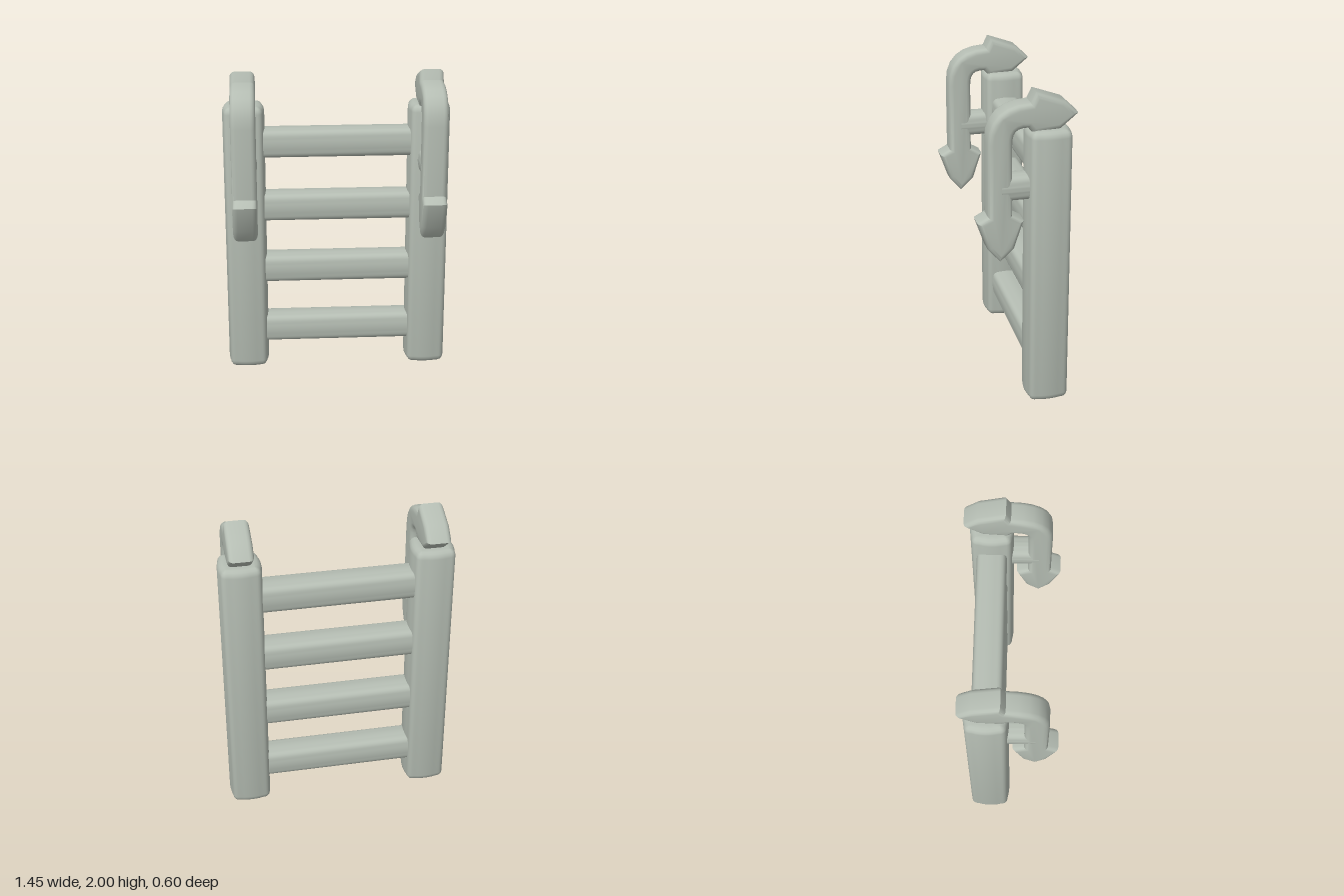
import * as THREE from 'three';
import { toCreasedNormals } from 'three/addons/utils/BufferGeometryUtils.js';

// Softly bulging square with rounded corners: h = half size, r = corner radius, b = side bulge
function pillowSquare(h, r, b) {
  const s = new THREE.Shape();
  const e = h - b, k = e - r;
  s.moveTo(-k, -e);
  s.quadraticCurveTo(0, -h - b, k, -e);
  s.quadraticCurveTo(e, -e, e, -k);
  s.quadraticCurveTo(h + b, 0, e, k);
  s.quadraticCurveTo(e, e, k, e);
  s.quadraticCurveTo(0, h + b, -k, e);
  s.quadraticCurveTo(-e, e, -e, k);
  s.quadraticCurveTo(-h - b, 0, -e, -k);
  s.quadraticCurveTo(-e, -e, -k, -e);
  return s;
}

// Extrusion of a given total length, centred, with rounded rims inside the outline
function softExtrude(shape, length, bevel, crease = 0.7) {
  const g = new THREE.ExtrudeGeometry(shape, {
    depth: length - 2 * bevel, curveSegments: 6,
    bevelEnabled: bevel > 0, bevelThickness: bevel, bevelSize: bevel,
    bevelOffset: -bevel, bevelSegments: 4,
  });
  g.translate(0, 0, bevel - length / 2);
  return toCreasedNormals(g, crease);
}

// Side outline of the hook, drawn as (z, y), with an arrowhead at each end
function hookShape() {
  const s = new THREE.Shape();
  s.moveTo(0.165, 0.96);
  s.lineTo(0.242, 1.05);
  s.lineTo(0.302, 1.22);
  s.lineTo(0.238, 1.255);
  s.lineTo(0.238, 1.7);
  s.bezierCurveTo(0.238, 1.86, 0.14, 1.935, -0.015, 1.937);
  s.lineTo(-0.045, 2.0);
  s.lineTo(-0.215, 1.94);
  s.lineTo(-0.298, 1.86);
  s.lineTo(-0.19, 1.77);
  s.lineTo(-0.03, 1.755);
  s.lineTo(0.0, 1.79);
  s.bezierCurveTo(0.07, 1.79, 0.092, 1.77, 0.092, 1.69);
  s.lineTo(0.092, 1.255);
  s.lineTo(0.022, 1.215);
  s.lineTo(0.08, 1.04);
  s.closePath();
  return s;
}

export function createModel() {
  const model = new THREE.Group();
  model.name = 'hookLadder';
  const grey = new THREE.MeshStandardMaterial({ color: 0xb5bdb3 });
  grey.name = 'greyGreen';

  const add = (name, geometry, x, y, z) => {
    const m = new THREE.Mesh(geometry, grey);
    m.name = name;
    m.position.set(x, y, z);
    model.add(m);
  };

  const post = softExtrude(pillowSquare(0.133, 0.045, 0.01), 1.775, 0.045).rotateX(-Math.PI / 2);
  const hook = softExtrude(hookShape(), 0.155, 0.032).rotateY(-Math.PI / 2);
  const peg = softExtrude(pillowSquare(0.08, 0.05, 0.004), 0.22, 0);
  const rung = softExtrude(pillowSquare(0.094, 0.05, 0.004), 1.0, 0).rotateY(Math.PI / 2);

  // Posts with their hooks and the pegs that join them
  for (const [side, name] of [[1, 'left'], [-1, 'right']]) {
    add(name + 'Post', post, side * 0.59, 0.8875, -0.132);
    add(name + 'Hook', hook, side * 0.59, 0, 0);
    add(name + 'Peg', peg, side * 0.59, 1.42, 0.05);
  }

  // Rungs
  for (let i = 0; i < 4; i++) add('rung' + (i + 1), rung, 0, 0.255 + i * 0.423, -0.132);

  return model;
}
